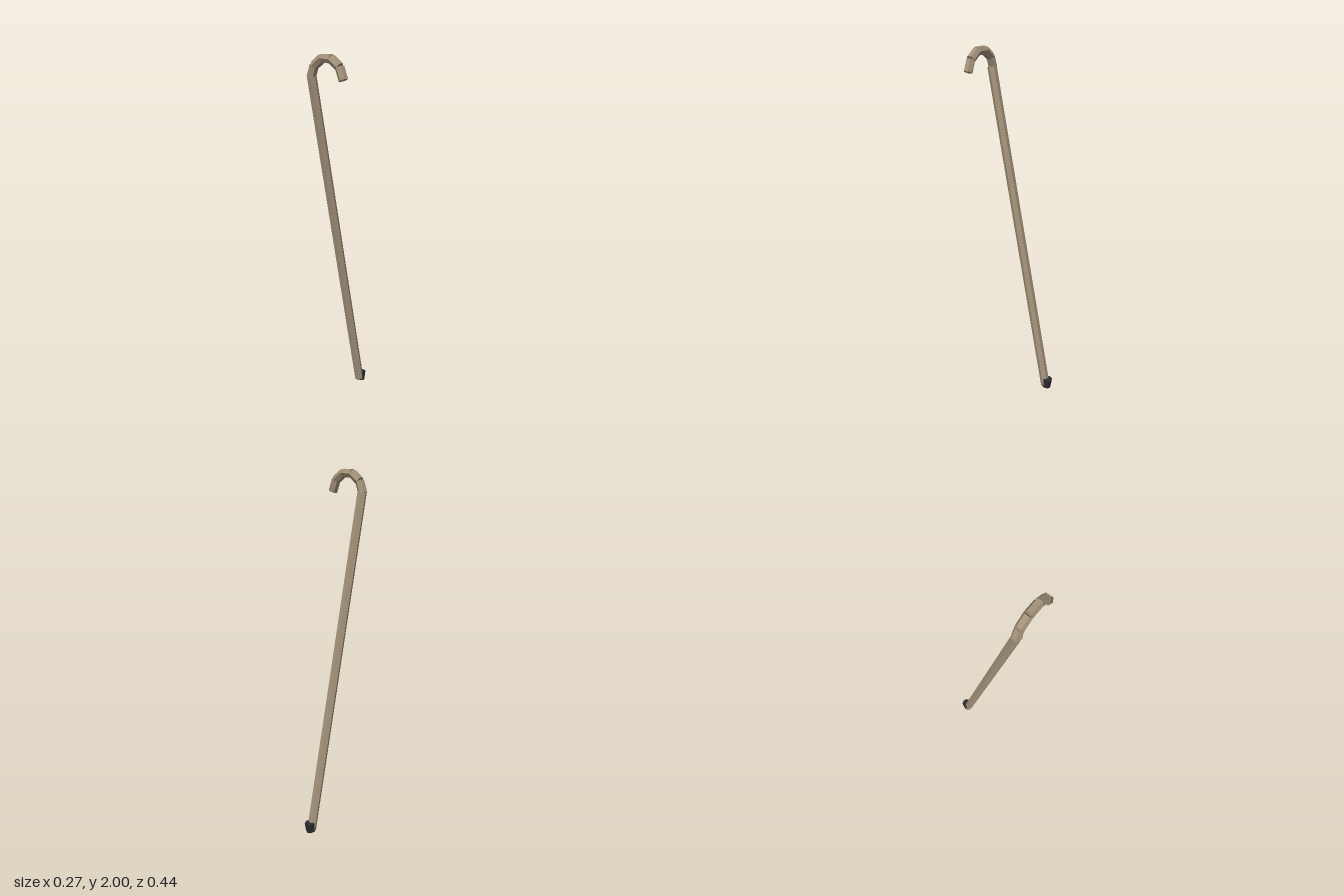
import * as THREE from 'three';

const wood = new THREE.MeshStandardMaterial({ color: 0xa3927a, flatShading: true });
const rubber = new THREE.MeshStandardMaterial({ color: 0x2b2b30, flatShading: true });

// Straight prism between two points
function rod(name, from, to, radius, sides, material, turn = 0) {
  const dir = to.clone().sub(from);
  const geometry = new THREE.CylinderGeometry(radius, radius, dir.length(), sides, 1, false, turn);
  const mesh = new THREE.Mesh(geometry, material);
  mesh.name = name;
  mesh.position.copy(from).add(to).multiplyScalar(0.5);
  mesh.quaternion.setFromUnitVectors(new THREE.Vector3(0, 1, 0), dir.normalize());
  return mesh;
}

export function createModel() {
  const model = new THREE.Group();
  model.name = 'walkingCane';

  // Leaning hexagonal shaft, corners to the sides
  model.add(rod('shaft', new THREE.Vector3(-0.108, 0.013, -0.175),
    new THREE.Vector3(-0.108, 1.885, 0.195), 0.026, 6, wood, Math.PI / 6));

  // Crook: five straight hexagonal pieces set around an arc
  const handle = new THREE.Group();
  handle.name = 'handle';
  handle.position.set(0, 1.867, 0.193);
  const arcRadius = 0.111, step = THREE.MathUtils.degToRad(34);
  for (let i = -2; i <= 2; i++) {
    const a = i * step;
    const piece = new THREE.Mesh(new THREE.CylinderGeometry(0.025, 0.025, 0.068, 6), wood);
    piece.name = 'handleSegment';
    piece.position.set(Math.sin(a) * arcRadius, Math.cos(a) * arcRadius, 0);
    piece.rotation.z = -Math.PI / 2 - a;
    handle.add(piece);
  }
  model.add(handle);

  // Rubber foot, tilted the opposite way to the shaft
  const tip = new THREE.Mesh(new THREE.CylinderGeometry(0.028, 0.028, 0.054, 8), rubber);
  tip.name = 'rubberTip';
  tip.position.set(-0.108, 0.032, -0.186);
  tip.rotation.x = -0.2;
  model.add(tip);

  return model;
}
